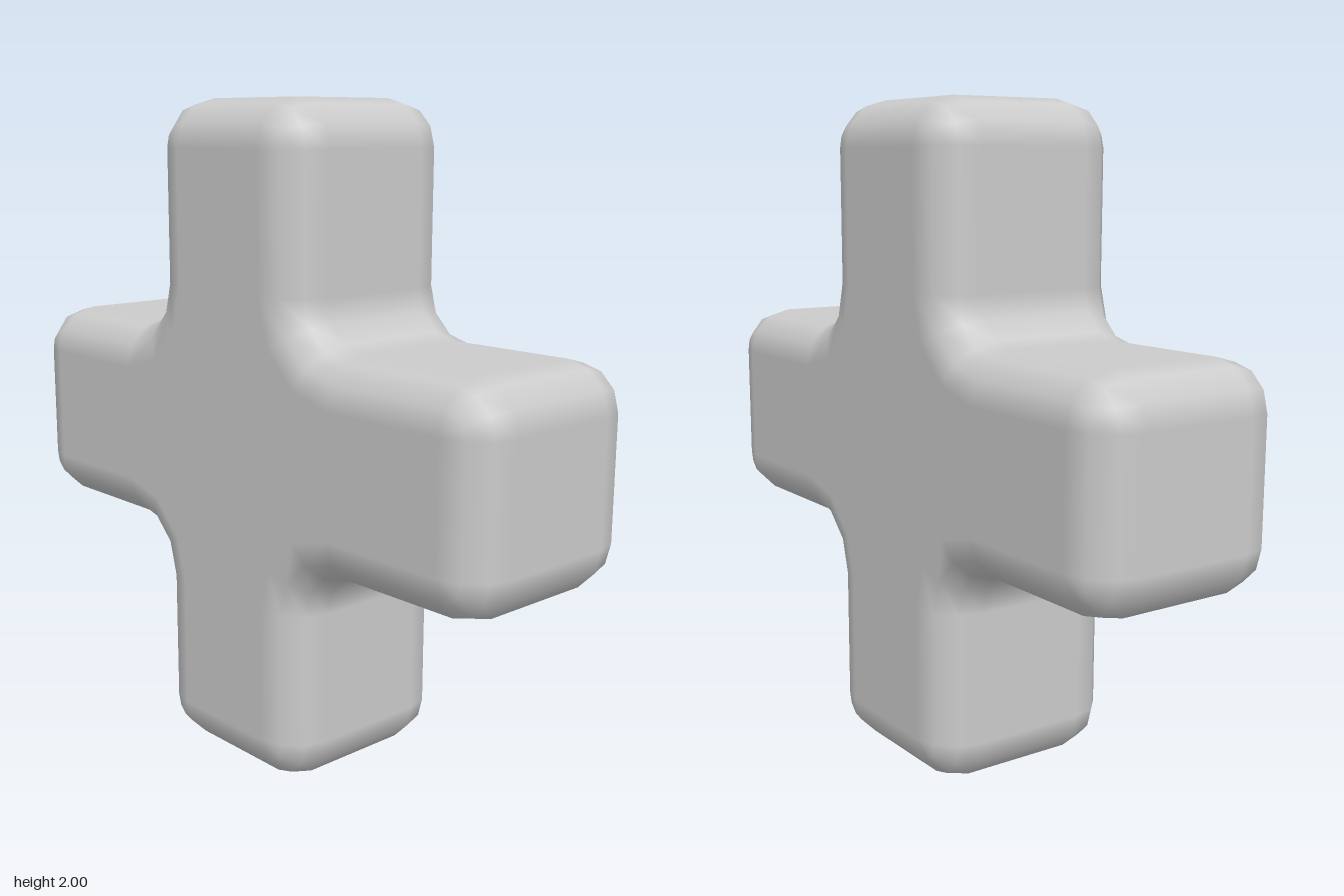
import * as THREE from 'three';

const HALF = 0.32;      // half width of arms and half thickness
const R = 0.14;         // edge rounding
const CORE = HALF - R;  // flat part of each side
const TIP = 1 - R;
const IN = HALF + R;    // centre of the inner fillets
const SEG = 3;

// One closed loop of the plus outline; c = 1 on the full outline, 0 on the flat side face
function outline(c) {
  const loop = [];
  const arc = (k, cx, cy, radius, from, to) => {
    for (let i = 0; i <= SEG; i++) {
      const a = (from + (to - from) * i / SEG) * Math.PI / 2;
      const n = new THREE.Vector2(Math.cos(a), Math.sin(a));
      const p = new THREE.Vector2(cx, cy).addScaledVector(n, radius);
      const origin = new THREE.Vector2();
      loop.push({ p: p.rotateAround(origin, k * Math.PI / 2), n: n.rotateAround(origin, k * Math.PI / 2) });
    }
  };
  for (let k = 0; k < 4; k++) {
    arc(k, TIP, CORE, R * c, 0, 1);             // outer corner
    arc(k, IN, IN, -(2 * R - R * c), 1, 0);     // inner fillet
    arc(k, CORE, TIP, R * c, 0, 1);             // outer corner
  }
  return loop;
}

function roundedPlus() {
  const pos = [], nor = [], idx = [];
  // Cross-sections stacked along x, with a quarter round at each end
  const layers = [];
  for (const s of [-1, 1]) {
    for (let i = 0; i <= SEG; i++) {
      const t = (s < 0 ? i - SEG : i) / SEG * Math.PI / 2;
      layers.push({ x: s * CORE + R * Math.sin(t), c: Math.cos(t), s: Math.sin(t) });
    }
  }
  let count = 0;
  for (const l of layers) {
    const loop = outline(l.c);
    count = loop.length;
    for (const { p, n } of loop) {
      pos.push(l.x, p.x + 1, p.y);
      nor.push(l.s, n.x * l.c, n.y * l.c);
    }
  }
  for (let i = 0; i < layers.length - 1; i++) {
    for (let j = 0; j < count; j++) {
      const a = i * count + j, b = i * count + (j + 1) % count;
      idx.push(a, b, b + count, a, b + count, a + count);
    }
  }
  // Flat side faces as fans around the middle
  const last = (layers.length - 1) * count, mid = pos.length / 3;
  pos.push(-HALF, 1, 0, HALF, 1, 0);
  nor.push(-1, 0, 0, 1, 0, 0);
  for (let j = 0; j < count; j++) {
    const k = (j + 1) % count;
    idx.push(mid, k, j, mid + 1, last + j, last + k);
  }
  const g = new THREE.BufferGeometry();
  g.setAttribute('position', new THREE.Float32BufferAttribute(pos, 3));
  g.setAttribute('normal', new THREE.Float32BufferAttribute(nor, 3));
  g.setIndex(idx);
  return g;
}

export function createModel() {
  const group = new THREE.Group();
  group.name = 'plusShape';
  const body = new THREE.Mesh(roundedPlus(), new THREE.MeshStandardMaterial({ color: 0xcccccc }));
  body.name = 'roundedCross';
  group.add(body);
  return group;
}
